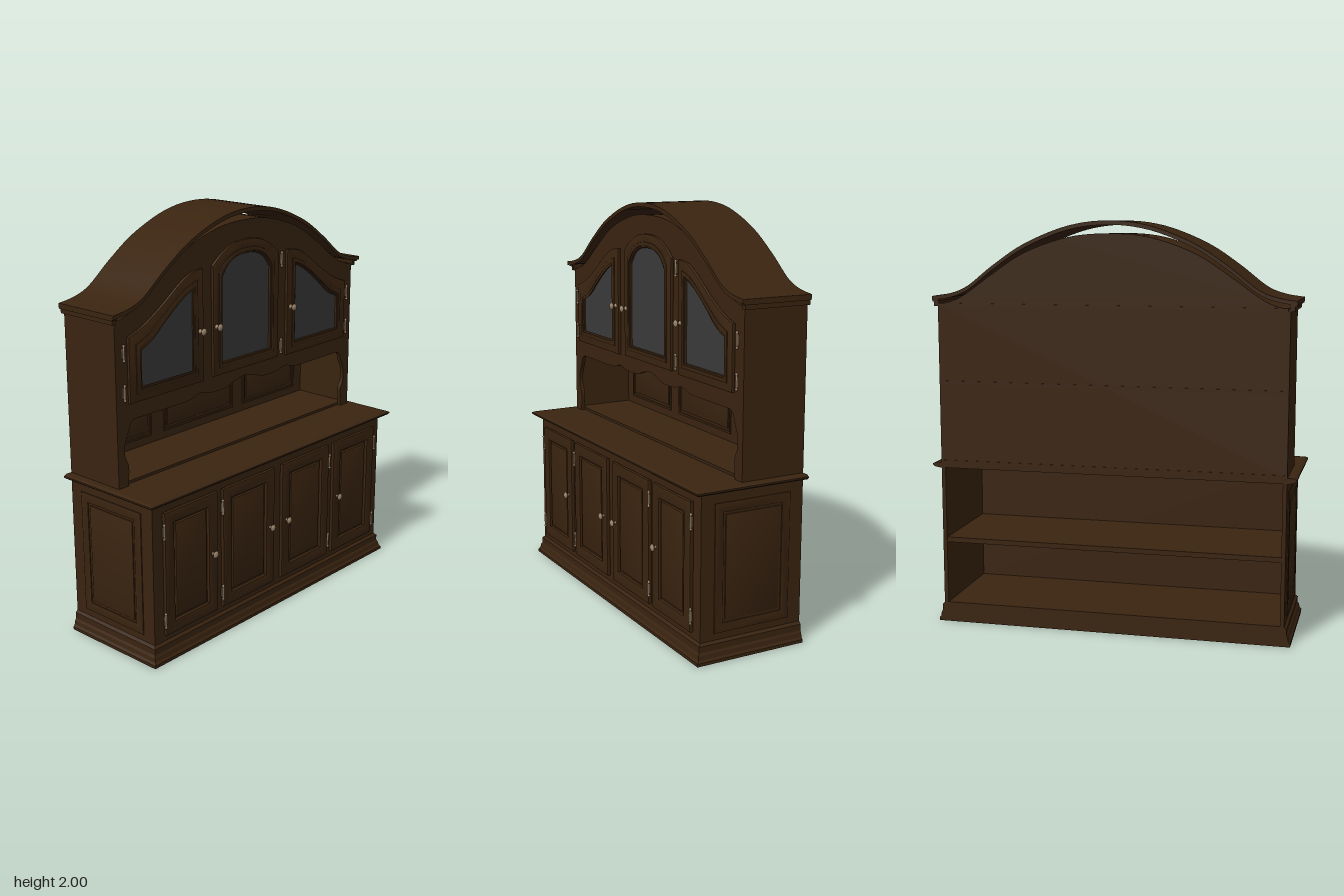
import * as THREE from 'three';
import { toCreasedNormals } from 'three/addons/utils/BufferGeometryUtils.js';

const BACK = -0.29, LOW_FRONT = 0.25, UP_FRONT = 0.04, HALF = 0.855;

export function createModel() {
  const root = new THREE.Group();
  root.name = 'dresser';
  const wood = new THREE.MeshStandardMaterial({ color: 0x3a2410, side: THREE.DoubleSide });
  wood.name = 'dark wood';
  const glass = new THREE.MeshStandardMaterial({ color: 0x3a3a3a, side: THREE.DoubleSide });
  glass.name = 'smoked glass';
  const brass = new THREE.MeshStandardMaterial({ color: 0x9c8468 });
  brass.name = 'aged brass';

  const add = (name, geo, mat = wood, parent = root) => {
    const m = new THREE.Mesh(geo, mat);
    m.name = name;
    parent.add(m);
    return m;
  };
  const box = (name, x0, x1, y0, y1, z0, z1, parent = root) => {
    const m = add(name, new THREE.BoxGeometry(x1 - x0, y1 - y0, z1 - z0), wood, parent);
    m.position.set((x0 + x1) / 2, (y0 + y1) / 2, (z0 + z1) / 2);
    return m;
  };
  const V = (pts) => pts.map(([x, y]) => new THREE.Vector2(x, y));
  const spline = (pts, n) => new THREE.SplineCurve(V(pts)).getPoints(n).map((p) => [p.x, p.y]);
  const mirror = (pts) => pts.map(([x, y]) => [-x, y]);
  // Symmetric curve from its right half, listed from the centre outwards
  const symmetric = (half, n) => spline([...mirror(half).reverse(), ...half.slice(1)], n);
  const rect = (x0, x1, y0, y1) => [[x0, y0], [x1, y0], [x1, y1], [x0, y1]];
  const inset = ([a, , c], d) => rect(a[0] + d, c[0] - d, a[1] + d, c[1] - d);
  const mix = (a, b, t) => a.map((p, i) => [p[0] + (b[i][0] - p[0]) * t, p[1] + (b[i][1] - p[1]) * t]);

  // Extruded outline between two depths, with optional hole and bevelled front
  const slab = (name, outline, z0, z1, { hole, bevel = 0, mat = wood, parent = root } = {}) => {
    const shape = new THREE.Shape(V(outline));
    if (hole) shape.holes.push(new THREE.Path(V(hole)));
    const geo = new THREE.ExtrudeGeometry(shape, {
      depth: z1 - z0 - 2 * bevel, bevelEnabled: bevel > 0, bevelSize: bevel,
      bevelThickness: bevel, bevelOffset: -bevel, bevelSegments: 2,
    });
    geo.translate(0, 0, z0 + bevel);
    return add(name, toCreasedNormals(geo, 0.4), mat, parent);
  };

  // Rectangular moulding: [y, overhang] levels, flush at the back
  const tiers = (name, levels, capped) => {
    const pos = [];
    const ring = ([y, o]) => [
      [-HALF - o, y, BACK], [-HALF - o, y, LOW_FRONT + o],
      [HALF + o, y, LOW_FRONT + o], [HALF + o, y, BACK],
    ];
    const quad = (a, b, c, d) => pos.push(...a, ...b, ...c, ...a, ...c, ...d);
    for (let i = 0; i + 1 < levels.length; i++) {
      const a = ring(levels[i]), b = ring(levels[i + 1]);
      for (let k = 0; k < 4; k++) quad(a[k], a[(k + 1) % 4], b[(k + 1) % 4], b[k]);
    }
    if (capped) {
      quad(...ring(levels[0]).reverse());
      quad(...ring(levels[levels.length - 1]));
    }
    const geo = new THREE.BufferGeometry();
    geo.setAttribute('position', new THREE.Float32BufferAttribute(pos, 3));
    geo.computeVertexNormals();
    return add(name, geo);
  };

  // Metal fittings
  const knobGeo = new THREE.LatheGeometry(
    V([[0.012, 0], [0.011, 0.004], [0.005, 0.007], [0.005, 0.015], [0.015, 0.02], [0.018, 0.025], [0.012, 0.031], [0, 0.033]]), 16);
  knobGeo.rotateX(Math.PI / 2);
  const knob = (x, y, z) => add('knob', knobGeo, brass).position.set(x, y, z);
  const hinge = (x, y, z) => {
    const g = new THREE.Group();
    g.name = 'hinge';
    g.position.set(x, y, z);
    root.add(g);
    add('hingeLeaf', new THREE.BoxGeometry(0.018, 0.045, 0.004), brass, g);
    add('hingePin', new THREE.CylinderGeometry(0.005, 0.005, 0.066, 8), brass, g).position.z = 0.004;
    for (const s of [-1, 1]) add('hingeTip', new THREE.SphereGeometry(0.007, 8, 6), brass, g).position.set(0, s * 0.034, 0.004);
  };

  // Framed panel: outer frame, recess and raised field
  const framedPanel = (name, outer, width, z, t, parent = root) => {
    const inner = inset(outer, width);
    slab(name + 'Frame', outer, z, z + t, { hole: inner, bevel: t * 0.3, parent });
    slab(name + 'Field', inset(inner, 0.012), z - 0.004, z + t * 0.8, { bevel: t * 0.35, parent });
  };

  // Lower cabinet, open at the back
  tiers('plinth', [[0, 0.03], [0.015, 0.03], [0.025, 0.022], [0.045, 0.018], [0.055, 0.012], [0.085, 0.012], [0.097, 0]], false);
  tiers('counter', [[0.79, 0.012], [0.795, 0.035], [0.803, 0.045], [0.81, 0.045], [0.817, 0.03]], true);
  box('lowerFront', -HALF, HALF, 0.09, 0.79, LOW_FRONT - 0.02, LOW_FRONT);
  box('lowerFloor', -HALF, HALF, 0.08, 0.1, BACK, LOW_FRONT - 0.02);
  box('lowerShelf', -HALF + 0.02, HALF - 0.02, 0.41, 0.435, BACK + 0.005, LOW_FRONT - 0.02);
  for (const s of [-1, 1]) {
    const x = s * (HALF - 0.01);
    box('lowerSide', x - 0.01, x + 0.01, 0.09, 0.79, BACK, LOW_FRONT - 0.02);
    const side = new THREE.Group();
    side.name = 'sidePanel';
    side.rotation.y = s * Math.PI / 2;
    root.add(side);
    const z0 = -0.18, z1 = 0.22;
    framedPanel('side', s > 0 ? rect(z0, z1, 0.13, 0.74) : rect(-z1, -z0, 0.13, 0.74), 0.045, HALF, 0.006, side);

    // Two doors on each half
    framedPanel('outerDoor', s > 0 ? rect(0.445, 0.795, 0.13, 0.745) : rect(-0.795, -0.445, 0.13, 0.745), 0.06, LOW_FRONT, 0.02);
    framedPanel('innerDoor', s > 0 ? rect(0.03, 0.405, 0.13, 0.745) : rect(-0.405, -0.03, 0.13, 0.745), 0.06, LOW_FRONT, 0.02);
    knob(s * 0.48, 0.44, LOW_FRONT + 0.015);
    knob(s * 0.063, 0.44, LOW_FRONT + 0.015);
    for (const y of [0.21, 0.655]) {
      hinge(s * 0.8, y, LOW_FRONT + 0.016);
      hinge(s * 0.41, y, LOW_FRONT + 0.016);
    }
  }

  // Upper case: arched back, ceiling, sides and shelves
  const arch = symmetric([[0, 1.94], [0.2, 1.922], [0.41, 1.85], [0.57, 1.75], [0.72, 1.645], [0.8, 1.61], [HALF, 1.6]], 60);
  const lowered = arch.map(([x, y]) => [x, y - 0.015]).reverse();
  slab('upperBack', [[HALF, 0.815], [-HALF, 0.815], ...arch], BACK, BACK + 0.012);
  slab('archedCeiling', [...arch, ...lowered], BACK, UP_FRONT);
  for (const y of [0.815, 1.21, 1.59]) box('upperShelf', -HALF + 0.01, HALF - 0.01, y, y + 0.015, BACK - 0.003, UP_FRONT - 0.02);
  for (const s of [-1, 1]) {
    const x = s * (HALF - 0.01);
    box('upperSide', x - 0.01, x + 0.01, 0.815, 1.6, BACK, UP_FRONT - 0.02);
    const c = s * 0.862;
    box('corniceLower', c - 0.012, c + 0.012, 1.59, 1.615, BACK, UP_FRONT + 0.01);
    const d = s * 0.868;
    box('corniceUpper', d - 0.015, d + 0.015, 1.612, 1.635, BACK, UP_FRONT + 0.02);
  }

  // Upper face with scalloped niche opening
  const niche = symmetric([[0, 1.168], [0.07, 1.155], [0.14, 1.135], [0.24, 1.135], [0.32, 1.15], [0.41, 1.13], [0.68, 1.13],
    [0.76, 1.125], [0.785, 1.08], [0.81, 1.02], [0.81, 0.96], [0.79, 0.91], [0.795, 0.815]], 90);
  slab('upperFace', [...arch, [HALF, 0.815], ...niche.reverse(), [-HALF, 0.815]], UP_FRONT - 0.02, UP_FRONT);
  for (const [a, b] of [[-0.77, -0.34], [-0.255, 0.26], [0.34, 0.77]])
    framedPanel('niche', rect(a, b, 0.87, 1.125), 0.012, BACK + 0.012, 0.008);

  // Free-standing curved roof above the arch
  const roof = symmetric([[0, 2], [0.2, 1.975], [0.41, 1.893], [0.57, 1.79], [0.7, 1.69], [0.79, 1.653], [0.885, 1.638]], 60);
  slab('curvedRoof', [...roof, ...roof.map(([x, y]) => [x, y - 0.02]).reverse()], BACK, 0.07);

  // Glazed doors: frame, bead and pane
  const glazedDoor = (name, outer, inner) => {
    slab(name + 'Frame', outer, UP_FRONT, UP_FRONT + 0.017, { hole: inner, bevel: 0.005 });
    slab(name + 'Bead', mix(inner, outer, 0.42), UP_FRONT + 0.006, UP_FRONT + 0.022, { hole: mix(inner, outer, 0.12), bevel: 0.004 });
    slab(name + 'Pane', inner, UP_FRONT + 0.001, UP_FRONT + 0.006, { mat: glass });
  };
  const outerSide = [[0.305, 1.21], [0.785, 1.21],
    ...spline([[0.785, 1.52], [0.7, 1.55], [0.58, 1.62], [0.46, 1.705], [0.38, 1.745], [0.305, 1.755]].reverse(), 16).reverse()];
  const innerSide = [[0.372, 1.275], [0.715, 1.275],
    ...spline([[0.715, 1.45], [0.64, 1.485], [0.55, 1.56], [0.47, 1.62], [0.42, 1.65], [0.372, 1.672]].reverse(), 16).reverse()];
  glazedDoor('leftDoor', outerSide, innerSide);
  glazedDoor('rightDoor', mirror(outerSide), mirror(innerSide));
  glazedDoor('centreDoor',
    [[-0.238, 1.215], [0.238, 1.215], ...symmetric([[0, 1.85], [0.1, 1.838], [0.18, 1.8], [0.238, 1.755]], 20).reverse()],
    [[-0.173, 1.275], [0.173, 1.275], ...symmetric([[0, 1.782], [0.07, 1.775], [0.13, 1.745], [0.173, 1.69]], 20).reverse()]);

  for (const x of [-0.33, -0.218, 0.33]) knob(x, 1.46, UP_FRONT + 0.018);
  for (const y of [1.265, 1.45]) for (const s of [-1, 1]) hinge(s * 0.81, y, UP_FRONT + 0.005);
  for (const y of [1.265, 1.71]) hinge(0.27, y, UP_FRONT + 0.005);

  return root;
}
